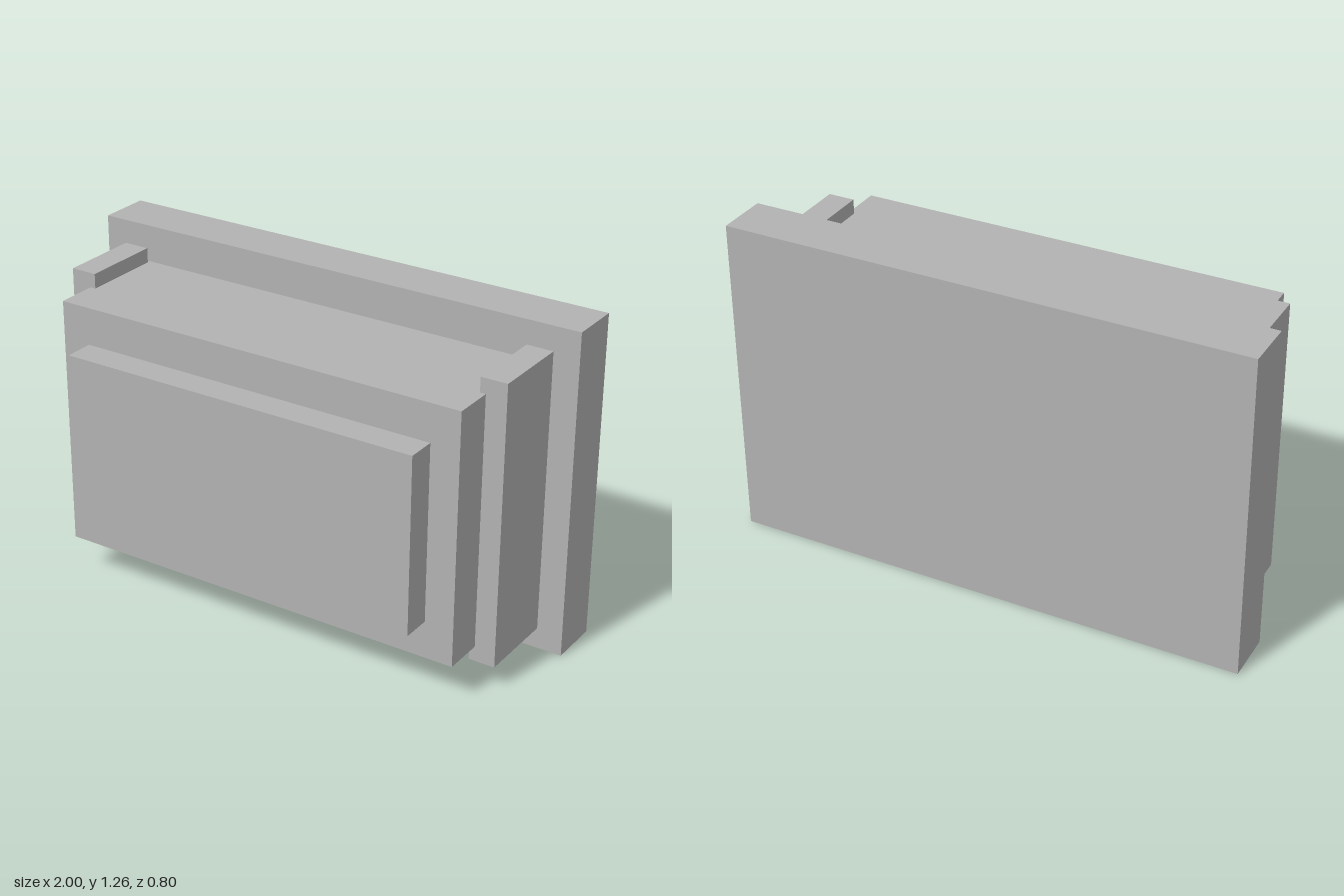
import * as THREE from 'three';

const grey = new THREE.MeshStandardMaterial({ color: 0xb2b2b2 });
grey.name = 'grey';

// Box given by its limits along each axis
function slab(name, [x0, x1], [y0, y1], [z0, z1]) {
  const mesh = new THREE.Mesh(new THREE.BoxGeometry(x1 - x0, y1 - y0, z1 - z0), grey);
  mesh.position.set((x0 + x1) / 2, (y0 + y1) / 2, (z0 + z1) / 2);
  mesh.name = name;
  return mesh;
}

export function createModel() {
  const model = new THREE.Group();
  model.name = 'steppedPanel';

  // Stepped slabs, from back to front
  model.add(
    slab('backPlate', [-1, 1], [0, 1.258], [-0.4, -0.2]),
    slab('body', [-0.827, 0.827], [0.147, 1.115], [-0.2, 0.286]),
    slab('frontPanel', [-0.715, 0.715], [0.29, 0.971], [0.286, 0.4]),
  );

  // Upright rails set into both sides of the body
  model.add(
    slab('leftRail', [0.805, 0.907], [0.09, 1.172], [-0.186, 0.128]),
    slab('rightRail', [-0.907, -0.805], [0.09, 1.172], [-0.186, 0.128]),
  );
  return model;
}
